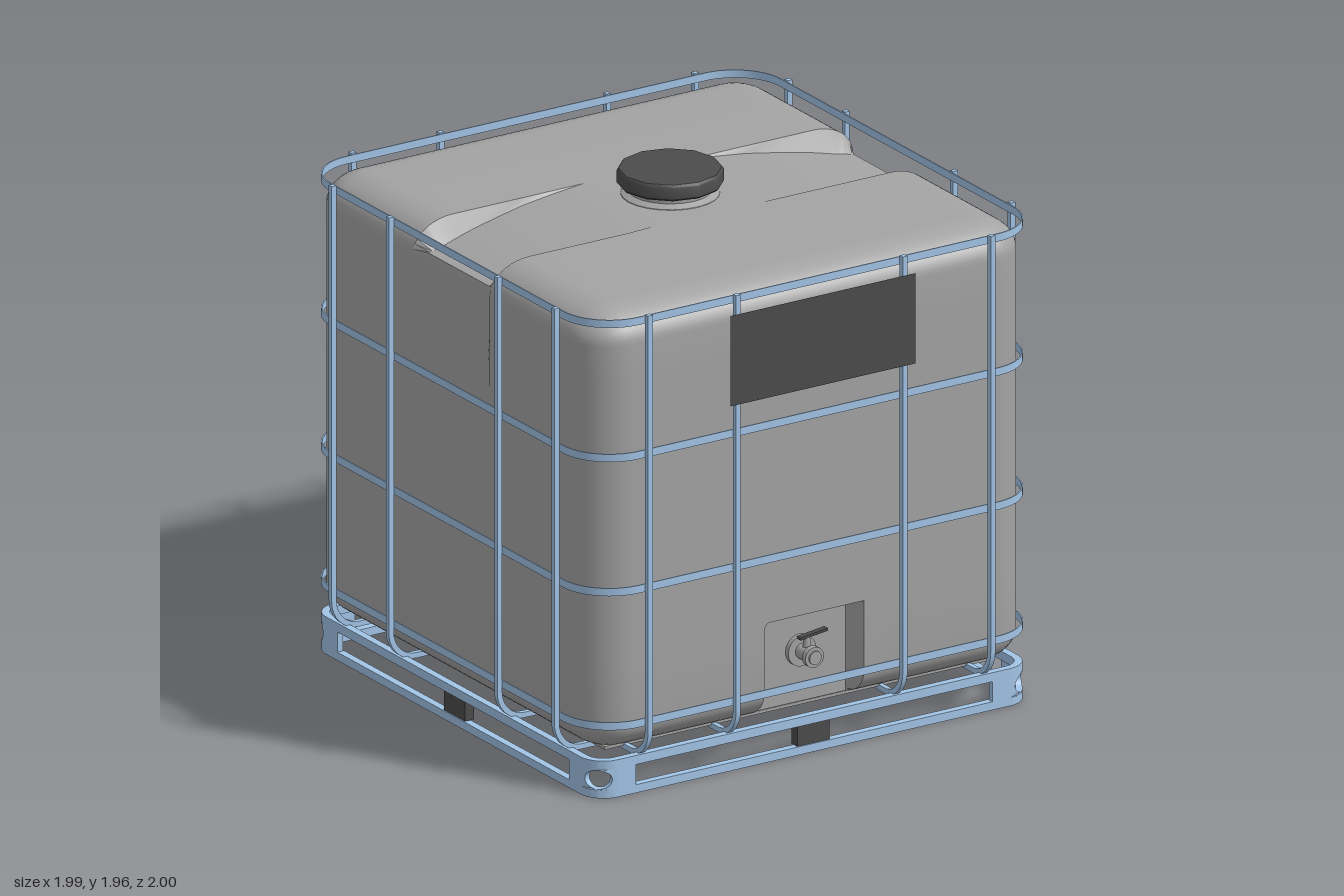
import * as THREE from 'three';
import { toCreasedNormals } from 'three/addons/utils/BufferGeometryUtils.js';

const mat = (name, color) => new THREE.MeshStandardMaterial({ name, color });

// Outline of a rectangle with rounded corners
function outline(PathType, h, r) {
  const p = new PathType(), c = h - r, q = Math.PI / 2;
  p.moveTo(-c, -h);
  p.lineTo(c, -h).absarc(c, -c, r, -q, 0, false);
  p.lineTo(h, c).absarc(c, c, r, 0, q, false);
  p.lineTo(-c, h).absarc(-c, c, r, q, 2 * q, false);
  p.lineTo(-h, -c).absarc(-c, -c, r, 2 * q, 3 * q, false);
  return p;
}

// Horizontal hoop of radial thickness t, from y0 up to y0 + height
function hoop(h, r, t, y0, height) {
  const s = outline(THREE.Shape, h, r);
  s.holes.push(outline(THREE.Path, h - t, r - t));
  const g = new THREE.ExtrudeGeometry(s, { depth: height, bevelEnabled: false, curveSegments: 8 });
  return toCreasedNormals(g.rotateX(-Math.PI / 2).translate(0, y0, 0), 0.5);
}

// Grid lines for one axis: dense in the rounded corners, plus chosen inner lines
function gridLines(half, r, inner) {
  const c = [];
  for (let i = 0; i <= 5; i++) c.push(half - r + r * Math.tan((i / 5) * Math.PI / 4));
  return [...c, ...c.map(v => -v), ...inner].sort((a, b) => a - b);
}

// Rounded tank with side grooves in the top, side recesses and a front valve pocket
function tankGeometry() {
  const half = [0.95, 0.855, 0.95], r = [0.17, 0.12, 0.17], yMid = 1.005;
  const sym = a => [...a, ...a.map(v => -v)];
  const lines = [
    gridLines(half[0], r[0], [0, ...sym([0.2, 0.215, 0.35, 0.48, 0.6, 0.7])]),
    gridLines(half[1], r[1], [0.52, 0.54, 0.6, 0.8, 1, 1.2, 1.4, 1.6].map(v => v - yMid)),
    gridLines(half[2], r[2], [0, ...sym([0.2, 0.255, 0.5])]),
  ];
  const n = lines.map(l => l.length - 1);
  const g = new THREE.BoxGeometry(1, 1, 1, ...n);
  const p = g.attributes.position, { clamp, smoothstep, lerp } = THREE.MathUtils;
  for (let i = 0; i < p.count; i++) {
    const v = [p.getX(i), p.getY(i), p.getZ(i)].map((c, k) => lines[k][Math.round((c + 0.5) * n[k])]);
    const inner = v.map((c, k) => clamp(c, r[k] - half[k], half[k] - r[k]));
    const d = v.map((c, k) => (c - inner[k]) / r[k]);
    const len = Math.hypot(...d) || 1;
    let [x, y, z] = inner.map((c, k) => c + r[k] * d[k] / len);
    y += yMid;
    const ax = Math.abs(x);
    const w = clamp((0.255 - Math.abs(z)) / 0.055, 0, 1);
    // the groove floor slopes down and narrows towards the sides
    const floor = 1.86 - 0.105 * Math.pow(clamp((ax - 0.25) / 0.7, 0, 1), 1.3);
    if (y > 1.5) y = lerp(y, Math.min(y, floor), w);
    x -= Math.sign(x) * 0.03 * w * smoothstep(y, 0.6, 1.7) * smoothstep(ax, 0.7, 0.9);
    if (y > 1.5 && Math.abs(Math.abs(z) - 0.2) < 0.001)
      z = Math.sign(z) * (0.2 + 0.045 * clamp((0.93 - ax) / 0.45, 0, 1));
    if (z > 0.5 && ax < 0.21 && y < 0.53) z = Math.min(z, 0.85);
    p.setXYZ(i, x, y, z);
  }
  g.deleteAttribute('uv');
  return toCreasedNormals(g, 0.55);
}

// U-shaped square cage bar: down one side, under the tank and up the other
function cageBar() {
  const o = 0.995, i = 0.974, top = 1.86, low = 0.13, R = 0.12, q = Math.PI / 2;
  const r = R - (o - i), c = o - R, y = low + R;
  const s = new THREE.Shape();
  s.moveTo(-o, top).lineTo(-o, y).absarc(-c, y, R, 2 * q, 3 * q, false);
  s.lineTo(c, low).absarc(c, y, R, -q, 0, false);
  s.lineTo(o, top).lineTo(i, top).lineTo(i, y).absarc(c, y, r, 0, -q, true);
  s.lineTo(-c, y - r).absarc(-c, y, r, 3 * q, 2 * q, true);
  s.lineTo(-i, top);
  const g = new THREE.ExtrudeGeometry(s, { depth: 0.02, bevelEnabled: false, curveSegments: 8 });
  return toCreasedNormals(g.translate(0, 0, -0.01), 0.5);
}

// Quarter-round corner wall with an oval hole: a flat plate bent around the corner
function cornerWall(r) {
  const L = r * Math.PI / 4, n = 10, s = new THREE.Shape();
  s.moveTo(-L, 0.03);
  for (let k = 1; k <= n; k++) s.lineTo(-L + 2 * L * k / n, 0.03);
  for (let k = 0; k <= n; k++) s.lineTo(L - 2 * L * k / n, 0.112);
  const oval = new THREE.Path();
  oval.absellipse(0, 0.071, 0.054, 0.036, 0, Math.PI * 2, true);
  s.holes.push(oval);
  const g = new THREE.ExtrudeGeometry(s, { depth: 0.025, bevelEnabled: false, curveSegments: 12 });
  const p = g.attributes.position;
  for (let k = 0; k < p.count; k++) {
    const a = p.getX(k) / r, d = r - 0.025 + p.getZ(k);
    p.setXYZ(k, d * Math.sin(a), p.getY(k), d * Math.cos(a));
  }
  return toCreasedNormals(g, 0.5);
}

export function createModel() {
  const root = new THREE.Group();
  root.name = 'liquidContainer';
  const body = new THREE.Group();
  body.name = 'body';
  body.position.z = -0.005;
  root.add(body);

  const plastic = mat('grey plastic', 0xa3a3a3);
  const steel = mat('blue steel', 0xa2c4e6);
  const dark = mat('dark grey', 0x4c4c4c);

  const add = (name, geo, material, x = 0, y = 0, z = 0, parent = body) => {
    const m = new THREE.Mesh(geo, material);
    m.name = name;
    m.position.set(x, y, z);
    parent.add(m);
    return m;
  };
  const lathe = (pts, seg) => toCreasedNormals(
    new THREE.LatheGeometry(pts.map(q => new THREE.Vector2(...q)), seg), 0.6);

  // Tank, neck and screw cap
  add('tank', tankGeometry(), plastic, 0, 0, -0.005);
  add('neck', lathe([[0.19, 1.84], [0.18, 1.862], [0.155, 1.875], [0.155, 1.91]], 24), plastic, 0, 0, -0.012);
  add('cap', lathe([[0, 1.897], [0.186, 1.897], [0.195, 1.905], [0.195, 1.95],
    [0.188, 1.96], [0, 1.96]], 12), dark, 0, 0, -0.012);

  // Cage hoops and U-shaped bars in both directions
  for (const y of [0.28, 0.8, 1.32, 1.84])
    add('cageHoop', hoop(0.974, 0.2, 0.005, y - 0.015, 0.03), steel);
  const bar = cageBar();
  for (const s of [-0.74, -0.36, 0.36, 0.74]) {
    add('sideBar', bar, steel, 0, 0, s);
    add('frontBackBar', bar, steel, s, 0, 0).rotation.y = Math.PI / 2;
  }

  // Flat underside of the tank
  add('tankBase', new THREE.BoxGeometry(1.66, 0.012, 1.66), plastic, 0, 0.149, 0);

  // Pallet frame: two rails, rounded corners with oval holes, and centre blocks
  add('lowerRail', hoop(0.945, 0.1, 0.03, 0, 0.032), steel);
  add('upperRail', hoop(0.945, 0.1, 0.03, 0.11, 0.035), steel);
  const corner = cornerWall(0.1);
  for (let i = 0; i < 4; i++) {
    const side = new THREE.Group();
    side.name = 'palletSide';
    side.rotation.y = i * Math.PI / 2;
    body.add(side);
    for (const s of [-1, 1])
      add('cornerPost', new THREE.BoxGeometry(0.075, 0.082, 0.025), steel, s * 0.8075, 0.071, 0.9325, side);
    add('cornerWall', corner, steel, 0.845, 0, 0.845, side).rotation.y = Math.PI / 4;
    add('centreBlock', new THREE.BoxGeometry(0.14, 0.08, 0.04), dark, 0, 0.071, 0.92, side);
  }

  // Blank sign on the front of the cage
  add('signPlate', new THREE.PlaneGeometry(0.8, 0.35), dark, 0, 1.615, 1.003);

  // Outlet valve in the pocket
  const valve = new THREE.Group();
  valve.name = 'valve';
  valve.position.set(0, 0.365, 0.845);
  body.add(valve);
  const barrel = (name, r, z0, z1) => add(name,
    new THREE.CylinderGeometry(r, r, z1 - z0, 20).rotateX(Math.PI / 2), plastic, 0, 0, (z0 + z1) / 2, valve);
  barrel('valveFlange', 0.06, 0, 0.02);
  barrel('valveBody', 0.03, 0.02, 0.085);
  barrel('valveCollar', 0.04, 0.08, 0.103);
  barrel('valveOutlet', 0.026, 0.1, 0.11);
  add('valveStem', new THREE.CylinderGeometry(0.012, 0.016, 0.06, 12), plastic, 0, 0.04, 0.05, valve);
  add('valveHandle', new THREE.BoxGeometry(0.12, 0.01, 0.025), dark, 0.025, 0.072, 0.05, valve).rotation.z = 0.12;

  return root;
}
